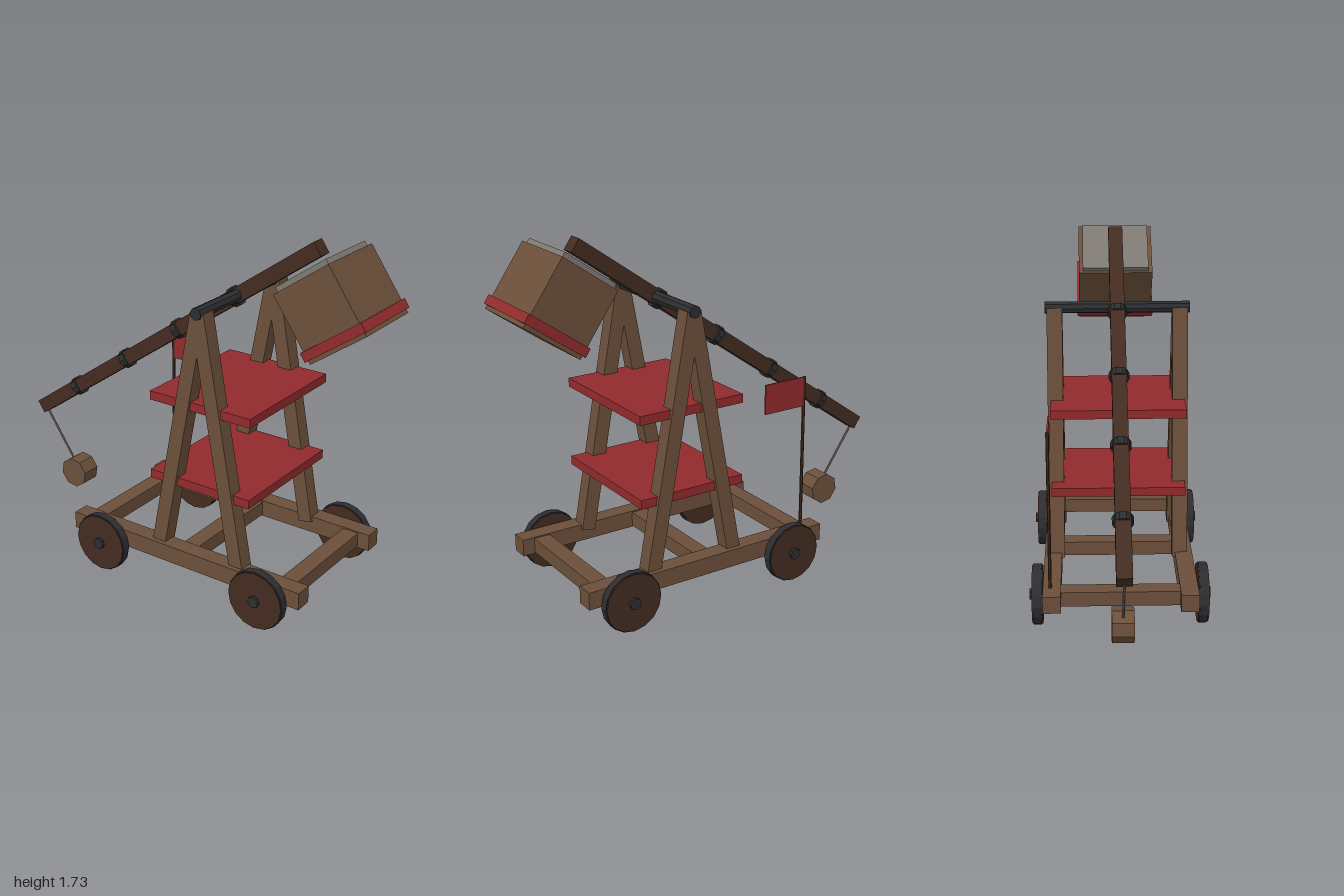
import * as THREE from 'three';

const mat = (name, color) => {
  const m = new THREE.MeshStandardMaterial({ color, flatShading: true });
  m.name = name;
  return m;
};

export function createModel() {
  const wood = mat('wood', 0x6b4f3a);
  const darkWood = mat('dark wood', 0x432b20);
  const red = mat('red', 0x912a2c);
  const iron = mat('iron', 0x2b2d30);
  const stone = mat('stone', 0x7d7871);

  const model = new THREE.Group();
  model.name = 'trebuchet';

  const add = (parent, name, geometry, material, x, y, z) => {
    const mesh = new THREE.Mesh(geometry, material);
    mesh.name = name;
    mesh.position.set(x, y, z);
    parent.add(mesh);
    return mesh;
  };
  const box = (parent, name, material, w, h, d, x, y, z) =>
    add(parent, name, new THREE.BoxGeometry(w, h, d), material, x, y, z);
  // Cylinder lying along z
  const drum = (parent, name, material, r, depth, sides, x, y, z) =>
    add(parent, name, new THREE.CylinderGeometry(r, r, depth, sides).rotateX(Math.PI / 2), material, x, y, z);

  // Chassis: side rails and cross beams
  for (const s of [-1, 1]) box(model, 'sideRail', wood, 1.3, 0.085, 0.085, 0.175, 0.187, s * 0.322);
  for (const x of [-0.377, 0.175, 0.723]) box(model, 'crossBeam', wood, 0.083, 0.072, 0.6, x, 0.187, 0);

  // Wheels with iron tyres and hubs
  for (const x of [-0.275, 0.625]) {
    for (const s of [-1, 1]) {
      const wheel = new THREE.Group();
      wheel.name = 'wheel';
      wheel.position.set(x, 0.145, s * 0.392);
      drum(wheel, 'wheelDisc', darkWood, 0.141, 0.05, 16, 0, 0, 0);
      drum(wheel, 'tyre', iron, 0.145, 0.038, 16, 0, 0, 0);
      drum(wheel, 'hub', iron, 0.028, 0.08, 8, 0, 0, 0);
      model.add(wheel);
    }
  }

  // A-frames: two leaning legs on each side
  const pivot = new THREE.Vector2(0.25, 1.415);
  for (const s of [-1, 1]) {
    for (const lean of [-1, 1]) {
      const foot = new THREE.Vector2(pivot.x + lean * 0.224, 0.2);
      const top = new THREE.Vector2(pivot.x, 1.412);
      const dir = top.clone().sub(foot);
      const leg = box(model, 'frameLeg', wood, 0.072, dir.length(), 0.075,
        (foot.x + top.x) / 2, (foot.y + top.y) / 2, s * 0.303);
      leg.rotation.z = Math.atan2(dir.y, dir.x) - Math.PI / 2;
    }
  }
  drum(model, 'pivotAxle', iron, 0.029, 0.7, 8, pivot.x, pivot.y, 0);

  // Platforms
  for (const y of [0.562, 0.96]) box(model, 'platform', red, 0.55, 0.043, 0.65, 0.25, y, 0);

  // Throwing arm, built along x and tilted about the pivot
  const tilt = THREE.MathUtils.degToRad(35);
  const arm = new THREE.Group();
  arm.name = 'throwingArm';
  arm.position.set(pivot.x, pivot.y, 0);
  arm.rotation.z = tilt;
  box(arm, 'armBeam', darkWood, 2, 0.07, 0.07, -0.5, 0, 0);
  for (const x of [-1.2, -0.81, -0.42, -0.03]) {
    const band = new THREE.CylinderGeometry(0.048, 0.048, 0.035, 10).rotateZ(Math.PI / 2);
    add(arm, 'armBand', band, iron, x, 0, 0);
  }
  model.add(arm);

  // Counterweight box with stone fill and red band
  const weight = new THREE.Group();
  weight.name = 'counterweight';
  weight.position.set(0.767, 1.47, 0);
  weight.rotation.z = tilt;
  box(weight, 'weightBox', wood, 0.32, 0.338, 0.37, 0, 0, 0);
  box(weight, 'stoneFill', stone, 0.295, 0.03, 0.33, 0, 0.178, 0);
  box(weight, 'weightBand', red, 0.345, 0.045, 0.388, 0, -0.128, 0);
  model.add(weight);

  // Sling rope and shot
  const a = new THREE.Vector3(-0.97, 0.545, 0);
  const b = new THREE.Vector3(-0.77, 0.255, 0);
  const rope = new THREE.TubeGeometry(new THREE.LineCurve3(a, b), 1, 0.006, 6);
  add(model, 'slingRope', rope, stone, 0, 0, 0);
  const shot = drum(model, 'slingShot', wood, 0.08, 0.1, 8, -0.757, 0.237, 0);
  shot.rotation.z = THREE.MathUtils.degToRad(12.5);

  // Flag on the back rail
  add(model, 'flagPole', new THREE.CylinderGeometry(0.008, 0.008, 0.79, 6), darkWood, -0.377, 0.607, -0.33);
  box(model, 'flag', red, 0.225, 0.145, 0.008, -0.262, 0.928, -0.33);

  return model;
}
